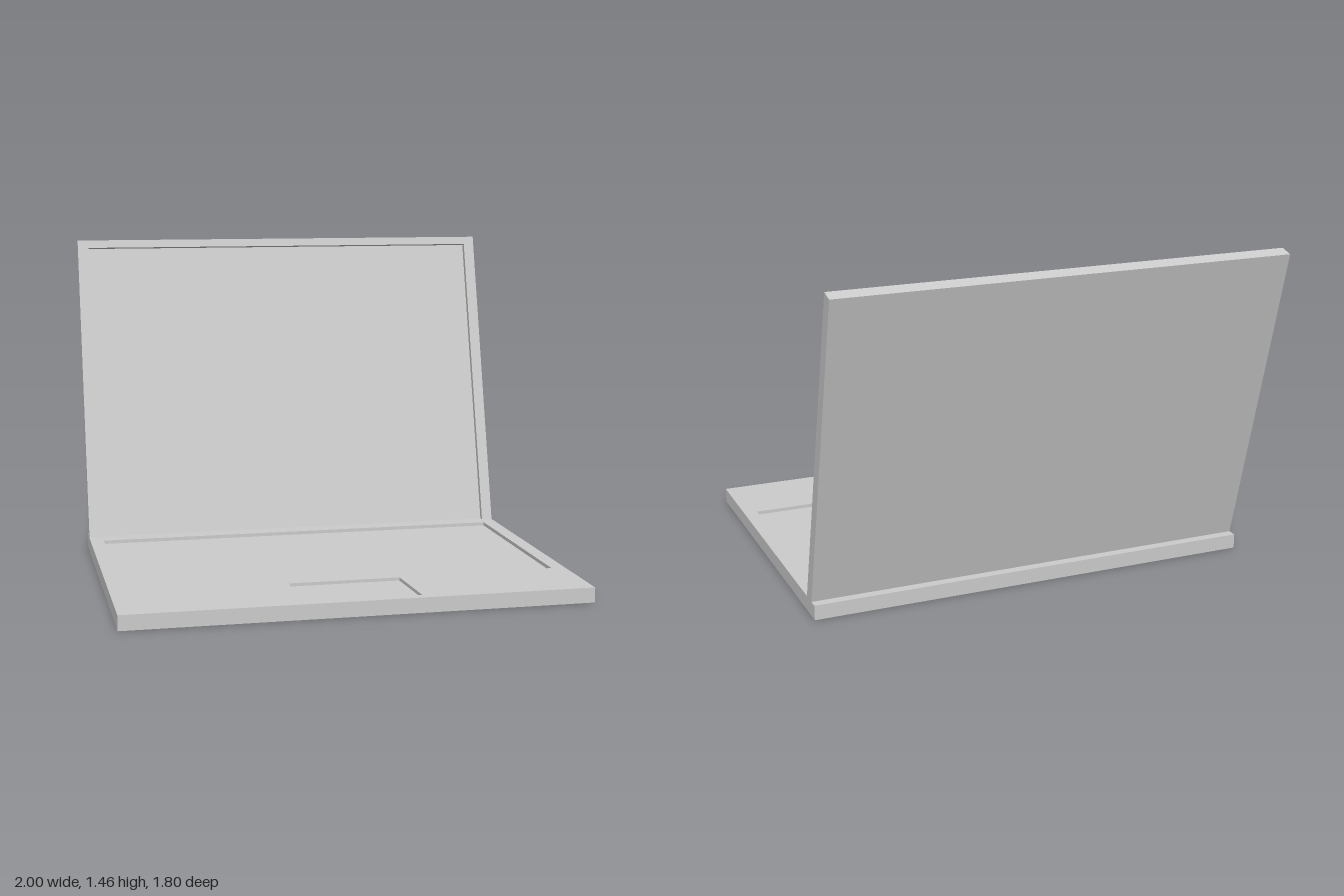
import * as THREE from 'three';

const material = new THREE.MeshStandardMaterial({ color: 0xcccccc, flatShading: true });

// Four corners, counter-clockwise: half widths at the bottom and top edges
const outline = (bottomHalf, topHalf, y0, y1) => [
  new THREE.Vector2(-bottomHalf, y0), new THREE.Vector2(bottomHalf, y0),
  new THREE.Vector2(topHalf, y1), new THREE.Vector2(-topHalf, y1),
];

function addMesh(group, name, geometry) {
  const mesh = new THREE.Mesh(geometry, material);
  mesh.name = name;
  group.add(mesh);
  return mesh;
}

// Walls running back from z = 0 around a loop, facing outwards or inwards
function walls(points, depth, inward) {
  const positions = [];
  points.forEach((a, i) => {
    const b = points[(i + 1) % points.length];
    const [p, q] = inward ? [b, a] : [a, b];
    positions.push(p.x, p.y, 0, p.x, p.y, -depth, q.x, q.y, -depth);
    positions.push(p.x, p.y, 0, q.x, q.y, -depth, q.x, q.y, 0);
  });
  const geometry = new THREE.BufferGeometry();
  geometry.setAttribute('position', new THREE.Float32BufferAttribute(positions, 3));
  geometry.computeVertexNormals();
  return geometry;
}

// A slab whose face lies at z = 0, with shallow pockets sunk into that face
function recessedPanel(name, points, thickness, pockets) {
  const group = new THREE.Group();
  group.name = name;

  const face = new THREE.Shape(points);
  face.holes = pockets.map((p) => new THREE.Path(p.points));
  addMesh(group, name + 'Face', new THREE.ShapeGeometry(face));
  addMesh(group, name + 'Sides', walls(points, thickness, false));

  const back = new THREE.ShapeGeometry(new THREE.Shape(points));
  back.rotateY(Math.PI).translate(0, 0, -thickness);
  addMesh(group, name + 'Back', back);

  for (const p of pockets) {
    const floor = new THREE.ShapeGeometry(new THREE.Shape(p.points));
    addMesh(group, p.name, floor.translate(0, 0, -p.depth));
    addMesh(group, p.name + 'Rim', walls(p.points, p.depth, true));
  }
  return group;
}

export function createModel() {
  const model = new THREE.Group();
  model.name = 'laptop';
  const baseHeight = 0.065;

  // Base lying flat, with keyboard and trackpad recesses
  const base = recessedPanel('base', outline(1, 1, -0.9, 0.575), baseHeight, [
    { name: 'keyboardArea', points: outline(0.938, 0.938, -0.545, 0.407), depth: 0.016 },
    { name: 'trackpad', points: outline(0.258, 0.242, -0.86, -0.56), depth: 0.014 },
  ]);
  base.rotation.x = -Math.PI / 2;
  base.position.y = baseHeight;

  // Lid leaning back 15 degrees; its foot and the open end of the screen sink into the base
  const lid = recessedPanel('lid', outline(1, 1, -0.035, 1.44), 0.061, [
    { name: 'screen', points: outline(0.95, 0.95, -0.03, 1.403), depth: 0.025 },
  ]);
  lid.rotation.x = -THREE.MathUtils.degToRad(15);
  lid.position.set(0, baseHeight, -0.47);

  model.add(base, lid);
  return model;
}
